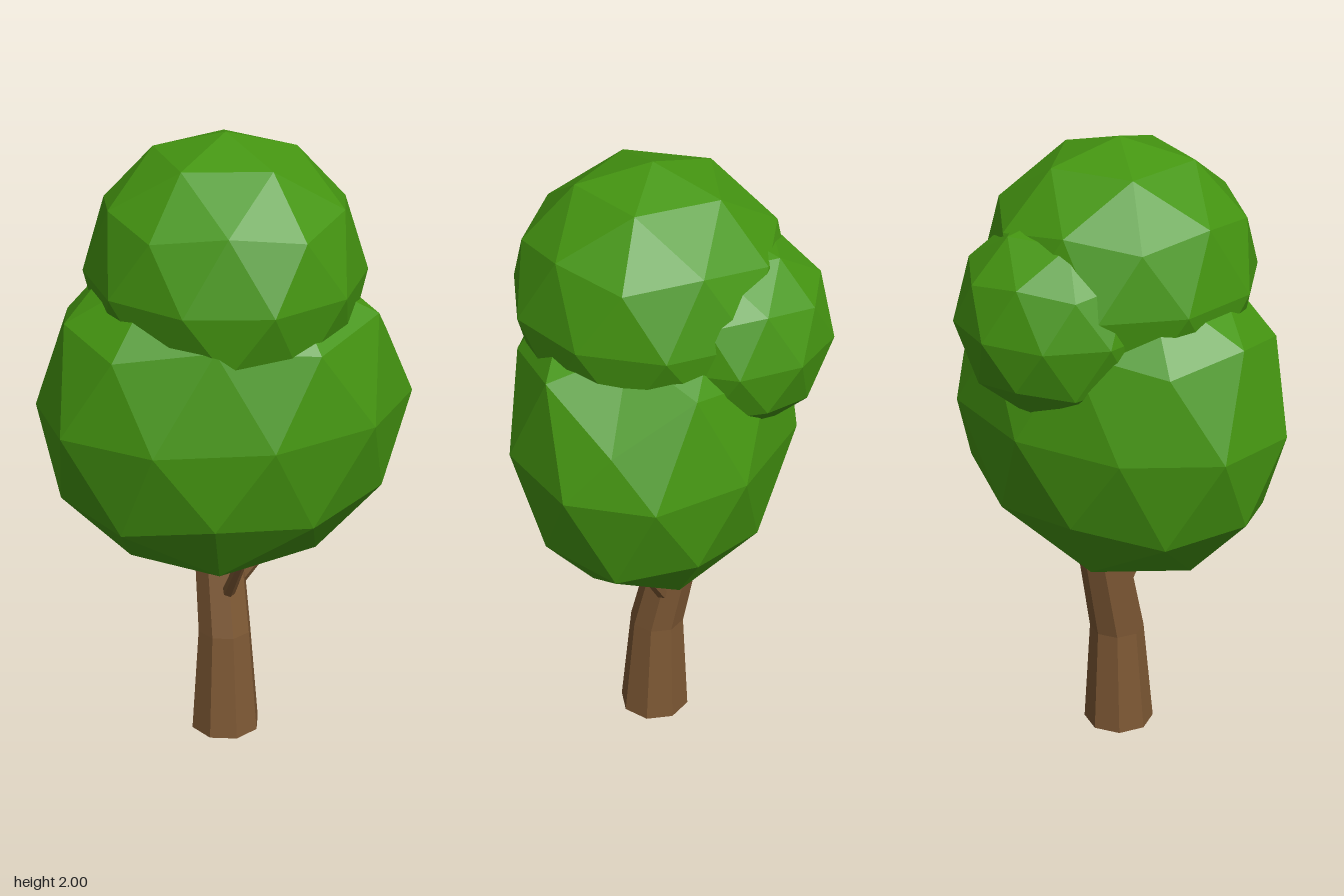
import * as THREE from 'three';
import { mergeVertices } from 'three/addons/utils/BufferGeometryUtils.js';

const leafMat = new THREE.MeshStandardMaterial({ color: 0x459611, flatShading: true });
const barkMat = new THREE.MeshStandardMaterial({ color: 0x7d5834, flatShading: true });

// Low-poly ball of 80 faces with a corner at the top pole
function ball() {
  const g = new THREE.IcosahedronGeometry(1, 1);
  g.rotateZ(-Math.atan(2 / (1 + Math.sqrt(5))));
  return g;
}

function foliage(name, center, radii, geometry = ball()) {
  geometry.scale(...radii);
  geometry.computeVertexNormals();
  const mesh = new THREE.Mesh(geometry, leafMat);
  mesh.position.set(...center);
  mesh.name = name;
  return mesh;
}

// Lower crown: its upper +x shoulder sags a little
function saggingBall() {
  const g = ball(), p = g.attributes.position;
  for (let i = 0; i < p.count; i++) {
    const x = p.getX(i), y = p.getY(i), z = p.getZ(i);
    if (x > 0.5 && y > 0.4 && Math.abs(z) < 0.05) p.setY(i, y - 0.18);
  }
  return g;
}

// Octagonal trunk that leans backwards; rings are [y, z centre, radius]
function trunk() {
  const rings = [[0, 0.053, 0.113], [0.35, 0.043, 0.087], [0.8, -0.055, 0.075]];
  const sides = 8, pos = [], idx = [];
  for (const [y, z, r] of rings) {
    for (let i = 0; i < sides; i++) {
      const a = (i / sides) * Math.PI * 2;
      pos.push(r * Math.cos(a), y, z + r * Math.sin(a));
    }
  }
  for (let k = 0; k < rings.length - 1; k++) {
    for (let i = 0; i < sides; i++) {
      const a = k * sides + i, b = k * sides + (i + 1) % sides;
      idx.push(a, a + sides, b, b, a + sides, b + sides);
    }
  }
  const top = (rings.length - 1) * sides;
  for (let i = 1; i < sides - 1; i++) {
    idx.push(0, i, i + 1, top, top + i + 1, top + i);
  }
  const g = new THREE.BufferGeometry();
  g.setAttribute('position', new THREE.Float32BufferAttribute(pos, 3));
  g.setIndex(idx);
  g.computeVertexNormals();
  const mesh = new THREE.Mesh(g, barkMat);
  mesh.name = 'trunk';
  return mesh;
}

// Short tapered twig from one point to another
function branch(name, from, to) {
  const a = new THREE.Vector3(...from), b = new THREE.Vector3(...to);
  const dir = b.clone().sub(a);
  const mesh = new THREE.Mesh(new THREE.CylinderGeometry(0.016, 0.021, dir.length(), 6), barkMat);
  mesh.position.copy(a).add(b).multiplyScalar(0.5);
  mesh.quaternion.setFromUnitVectors(new THREE.Vector3(0, 1, 0), dir.normalize());
  mesh.name = name;
  return mesh;
}

export function createModel() {
  const tree = new THREE.Group();
  tree.name = 'tree';
  tree.add(
    trunk(),
    branch('frontBranch', [0, 0.5, 0.085], [0, 0.68, 0.215]),
    branch('leftBranch', [0.065, 0.5, 0.01], [0.195, 0.68, 0.045]),
    foliage('lowerCrown', [0, 1.16, 0.05], [0.59, 0.58, 0.445], saggingBall()),
    foliage('upperCrown', [0, 1.575, 0.05], [0.425, 0.425, 0.43]),
    foliage('backCrown', [0.02, 1.5, -0.18], [0.32, 0.32, 0.32]),
  );
  return tree;
}
